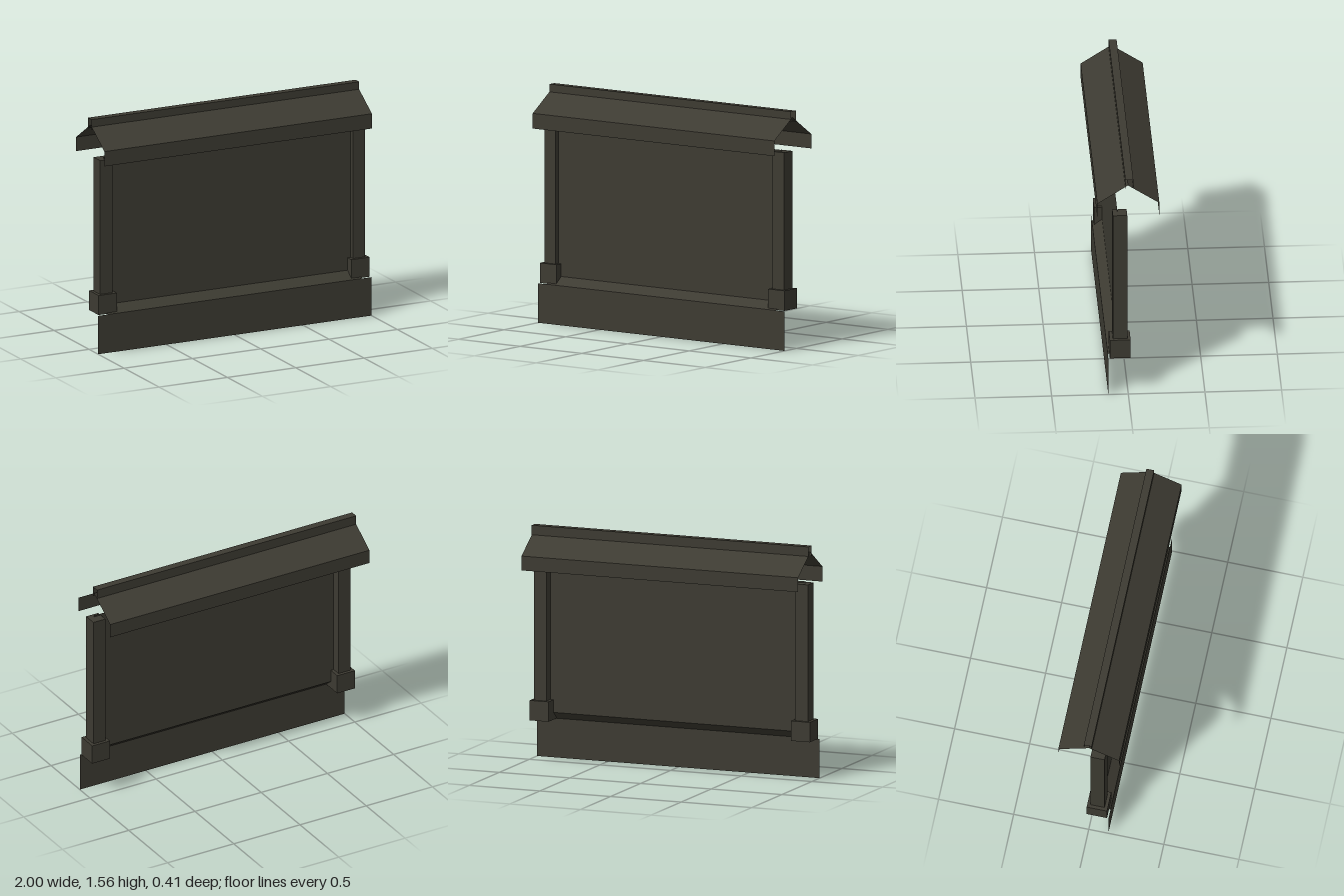
import * as THREE from 'three';

export function createModel() {
  const model = new THREE.Group();
  const darkTimber = new THREE.MeshStandardMaterial({ color: 0x3d3b32, side: THREE.DoubleSide });
  darkTimber.name = 'darkTimber';

  function add(name, geometry, x = 0, y = 0, z = 0) {
    const mesh = new THREE.Mesh(geometry, darkTimber);
    mesh.name = name;
    mesh.position.set(x, y, z);
    model.add(mesh);
  }

  // Folded sheet: a [z, y] profile swept from x0 to x1, one flat quad per fold
  function sheet(profile, x0, x1) {
    const positions = [];
    for (let i = 0; i < profile.length - 1; i++) {
      const [za, ya] = profile[i];
      const [zb, yb] = profile[i + 1];
      positions.push(x0, ya, za, x1, ya, za, x1, yb, zb);
      positions.push(x0, ya, za, x1, yb, zb, x0, yb, zb);
    }
    const geometry = new THREE.BufferGeometry();
    geometry.setAttribute('position', new THREE.Float32BufferAttribute(positions, 3));
    geometry.computeVertexNormals();
    return geometry;
  }

  // Box with its underside left open
  function openBox(w, h, d) {
    const geometry = new THREE.BoxGeometry(w, h, d);
    const index = Array.from(geometry.index.array);
    index.splice(18, 6);
    geometry.setIndex(index);
    geometry.clearGroups();
    return geometry;
  }

  // Wall: base skirt, sloping sill and panel
  add('baseSkirt', sheet([[0.13, 0], [0.13, 0.26]], -1, 1));
  add('sill', sheet([[0.13, 0.26], [0.067, 0.31]], -0.93, 0.93));
  add('wallPanel', sheet([[0.067, 0.31], [0.067, 1.31]], -0.93, 0.93));

  // Posts on square footings
  for (const [side, s] of [['left', 1], ['right', -1]]) {
    add(side + 'Post', new THREE.BoxGeometry(0.09, 0.91, 0.094), s * 0.925, 0.845, 0.052);
    add(side + 'Footing', openBox(0.134, 0.132, 0.136), s * 0.925, 0.328, 0.052);
  }

  // Gabled roof with fascias, and the ridge cap
  add('roof', sheet([[0.2, 1.29], [0.2, 1.39], [0, 1.52], [-0.205, 1.385], [-0.205, 1.29]], -0.99, 0.968));
  add('ridgeCap', sheet([[0.017, 1.49], [0.017, 1.56], [-0.035, 1.56], [-0.035, 1.49]], -0.99, 0.968));

  return model;
}
